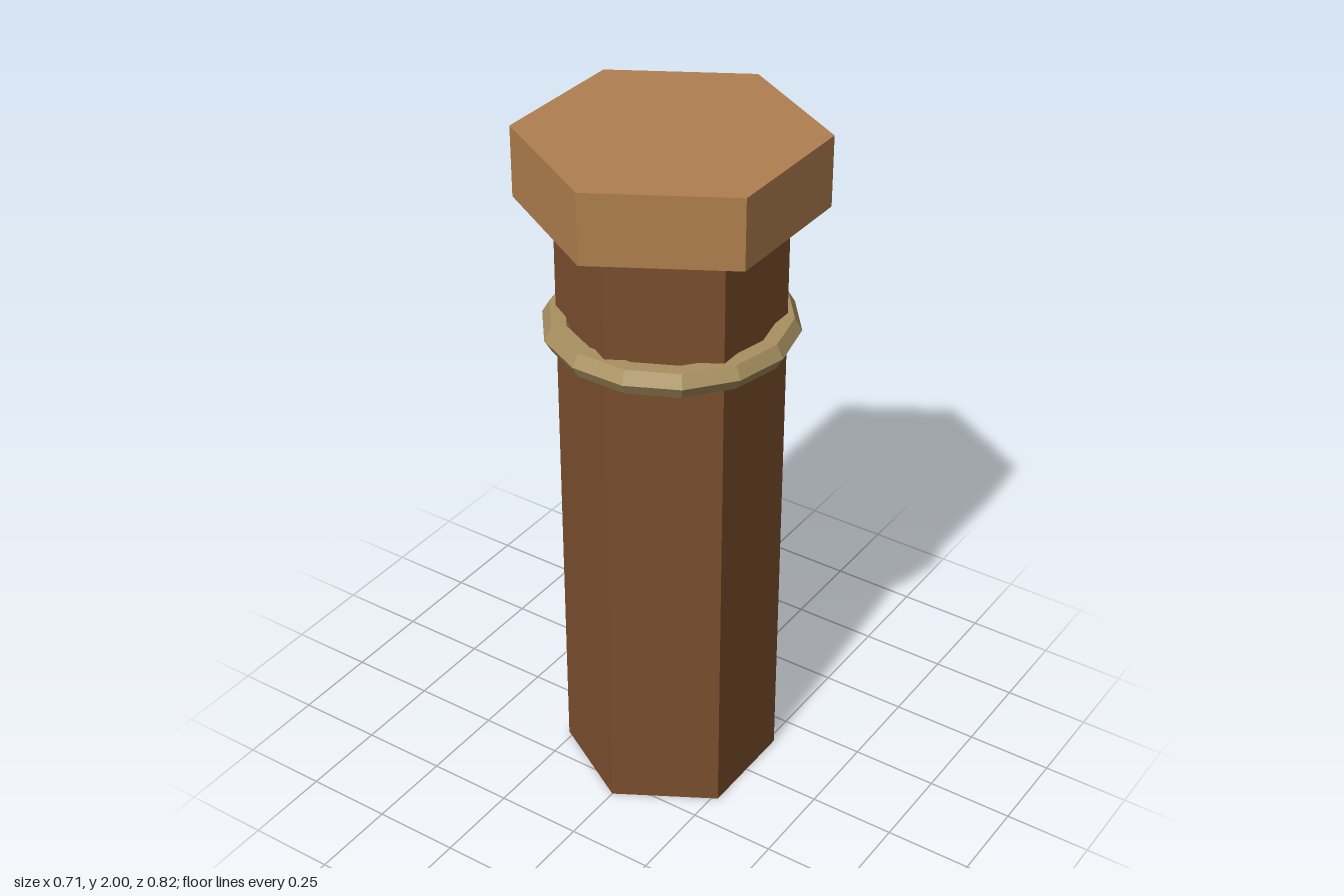
import * as THREE from 'three';

const material = (color) => new THREE.MeshStandardMaterial({ color, flatShading: true });

function addPart(group, name, geometry, color, y) {
  const mesh = new THREE.Mesh(geometry, material(color));
  mesh.name = name;
  mesh.position.y = y;
  group.add(mesh);
}

// Upright hexagonal prism with corners on the z axis
const hexPrism = (radius, height) => new THREE.CylinderGeometry(radius, radius, height, 6);

export function createModel() {
  const group = new THREE.Group();
  group.name = 'hexPeg';

  // Long shaft standing on the ground
  addPart(group, 'shaft', hexPrism(0.308, 1.8), 0x7a4f2e, 0.9);

  // Wider cap on top
  addPart(group, 'head', hexPrism(0.411, 0.2), 0xb08050, 1.9);

  // Faceted metal band around the shaft
  const band = new THREE.TorusGeometry(0.308, 0.041, 6, 14).rotateX(Math.PI / 2);
  addPart(group, 'band', band, 0xa89060, 1.445);

  return group;
}
